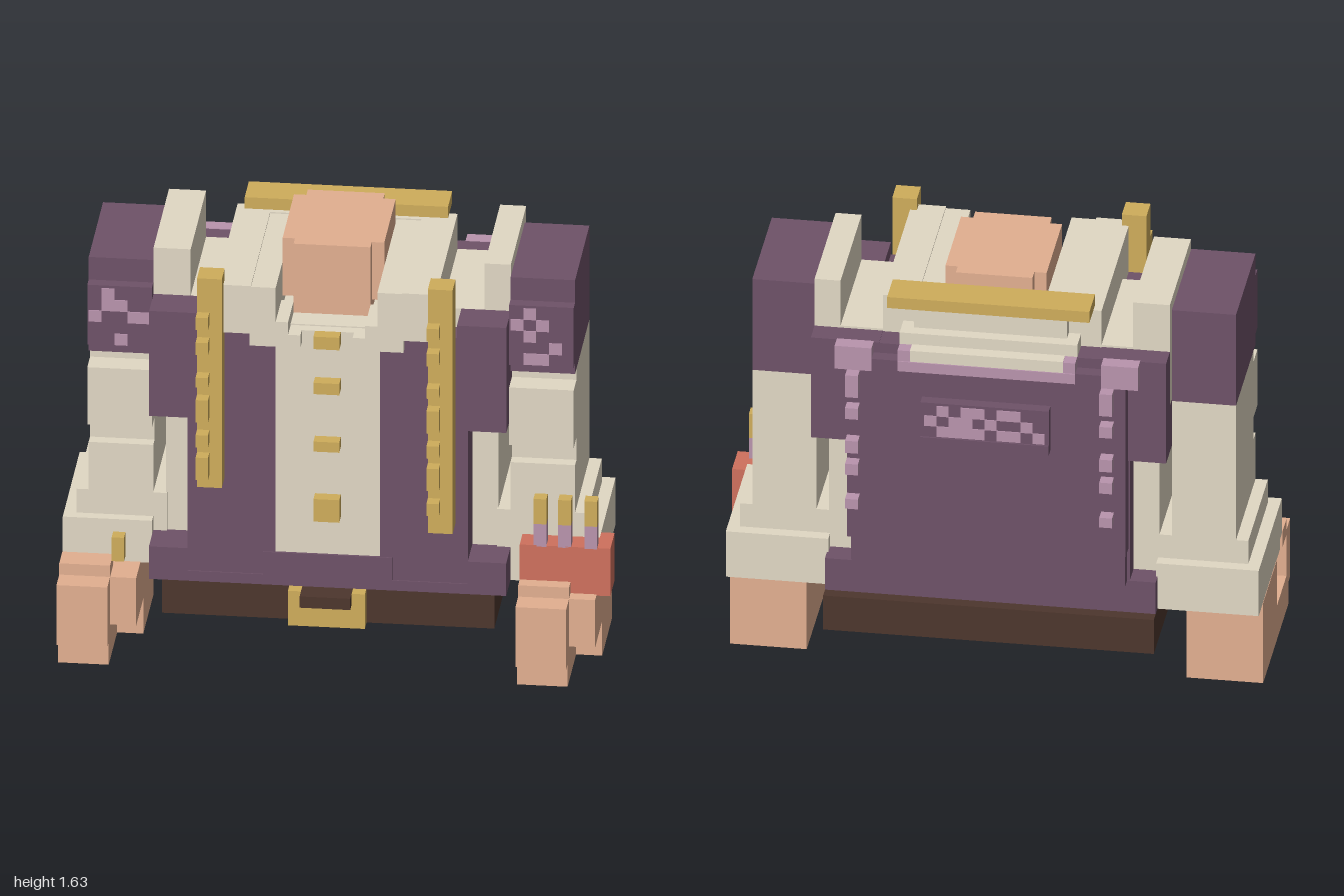
import * as THREE from 'three';

const mat = (name, color) => { const m = new THREE.MeshStandardMaterial({ color }); m.name = name; return m; };

export function createModel() {
  const purple = mat('purple cloth', 0x6e5268);
  const cream = mat('cream cloth', 0xe1d8c4);
  const gold = mat('gold', 0xcfad5b);
  const skin = mat('skin', 0xe2af90);
  const red = mat('red', 0xcf705d);
  const brown = mat('brown leather', 0x4d362d);
  const pink = mat('mauve', 0xb994ad);

  const model = new THREE.Group();
  model.name = 'jacketTorso';

  // box from its extents: [x0, x1, y0, y1, z0, z1]
  const box = (parent, name, m, [x0, x1, y0, y1, z0, z1]) => {
    const mesh = new THREE.Mesh(new THREE.BoxGeometry(x1 - x0, y1 - y0, z1 - z0), m);
    mesh.position.set((x0 + x1) / 2, (y0 + y1) / 2, (z0 + z1) / 2);
    mesh.name = name;
    parent.add(mesh);
  };
  const part = (name, parent = model) => {
    const g = new THREE.Group();
    g.name = name;
    parent.add(g);
    return g;
  };

  // the body is symmetric about a plane slightly off centre
  const body = part('body');
  body.position.x = -0.0235;
  const mirrored = (parent, name, m, [x0, x1, ...r]) => {
    box(parent, name + 'Left', m, [x0, x1, ...r]);
    box(parent, name + 'Right', m, [-x1, -x0, ...r]);
  };

  // jacket and shirt
  const jacket = part('jacket', body);
  box(jacket, 'jacketCore', purple, [-0.51, 0.51, 0.33, 1.3, -0.34, 0.3]);
  mirrored(jacket, 'jacketFront', purple, [0.19, 0.51, 0.33, 1.35, 0.25, 0.345]);
  mirrored(jacket, 'flankFront', purple, [0.47, 0.65, 0.98, 1.4, 0.2, 0.345]);
  mirrored(jacket, 'flankBack', purple, [0.4, 0.65, 0.98, 1.392, -0.39, -0.255]);
  mirrored(jacket, 'flankSide', purple, [0.47, 0.65, 0.98, 1.2, -0.255, 0.2]);
  box(jacket, 'jacketBack', purple, [-0.5, 0.5, 0.46, 1.39, -0.39, -0.3]);
  box(jacket, 'backPanel', purple, [-0.42, 0.42, 0.61, 1.35, -0.44, -0.38]);
  mirrored(jacket, 'backSeam', purple, [0.42, 0.51, 0.61, 1.3, -0.44, -0.38]);
  box(jacket, 'shirtFront', cream, [-0.19, 0.19, 0.4, 1.35, 0.2, 0.34]);
  box(jacket, 'hemCentre', purple, [-0.235, 0.235, 0.33, 0.46, 0.2, 0.35]);
  mirrored(jacket, 'hemLow', purple, [0.235, 0.51, 0.33, 0.37, 0.2, 0.35]);
  mirrored(jacket, 'hemEnd', purple, [0.51, 0.65, 0.33, 0.46, 0.2, 0.35]);
  box(jacket, 'hemBack', purple, [-0.605, 0.605, 0.33, 0.46, -0.345, -0.25]);
  mirrored(jacket, 'sideLining', cream, [0.45, 0.605, 0.33, 1.0, -0.255, 0.2]);
  mirrored(jacket, 'shoulderLining', cream, [0.37, 0.65, 1.17, 1.4, -0.3, 0.2]);
  box(jacket, 'shoulderPadLeft', cream, [0.555, 0.65, 1.3, 1.585, -0.3, 0.2]);
  box(jacket, 'shoulderPadRight', cream, [-0.65, -0.515, 1.3, 1.585, -0.3, 0.2]);

  // collar
  const collar = part('collar', body);
  box(collar, 'collarFloor', cream, [-0.3, 0.3, 1.25, 1.355, -0.3, 0.3]);
  mirrored(collar, 'collarOuter', cream, [0.275, 0.4, 1.35, 1.54, -0.3, 0.39]);
  mirrored(collar, 'collarInner', cream, [0.185, 0.28, 1.35, 1.535, -0.3, 0.385]);
  mirrored(collar, 'collarPoint', cream, [0.095, 0.28, 1.3, 1.35, 0.2, 0.385]);
  mirrored(collar, 'collarTip', cream, [0.14, 0.19, 1.34, 1.4, 0.2, 0.385]);
  box(collar, 'collarBack', cream, [-0.28, 0.28, 1.34, 1.54, -0.345, -0.24]);
  box(collar, 'collarStep', cream, [-0.325, 0.325, 1.35, 1.44, -0.39, -0.28]);
  box(collar, 'collarFold', cream, [-0.28, 0.28, 1.35, 1.395, -0.44, -0.3]);
  mirrored(collar, 'collarFoldEnd', pink, [0.28, 0.325, 1.35, 1.393, -0.44, -0.385]);
  box(collar, 'collarFoldTrim', pink, [-0.325, 0.325, 1.31, 1.35, -0.445, -0.4]);
  box(collar, 'collarBar', gold, [-0.37, 0.37, 1.54, 1.585, -0.395, -0.26]);

  // neck
  const neck = part('neck', body);
  box(neck, 'neckTop', skin, [-0.185, 0.185, 1.4, 1.63, -0.21, 0.16]);
  box(neck, 'neckCore', skin, [-0.14, 0.14, 1.34, 1.63, -0.255, 0.205]);

  // gold front strips with studs
  const trim = part('frontTrim', body);
  box(trim, 'stripRight', gold, [-0.465, -0.375, 0.75, 1.585, 0.345, 0.44]);
  box(trim, 'stripLeft', gold, [0.375, 0.465, 0.61, 1.585, 0.345, 0.44]);
  const studs = [[1.4, 1.45], [1.3, 1.35], [1.17, 1.21], [1.03, 1.12], [0.93, 0.98], [0.8, 0.89], [0.7, 0.75]];
  studs.forEach(([a, b], i) => {
    box(trim, 'studLeft', gold, [0.375, 0.42, a, b, 0.44, 0.488]);
    if (i < 6) box(trim, 'studRight', gold, [-0.465, -0.42, a, b, 0.44, 0.488]);
  });
  for (const [a, b] of [[1.3, 1.35], [1.12, 1.165], [0.89, 0.93], [0.61, 0.7]])
    box(trim, 'button', gold, [-0.047, 0.047, a, b, 0.33, 0.39]);

  // back decoration: studs, seam tops and a pixelled plate
  const back = part('backTrim', body);
  for (const [a, b] of [[1.21, 1.3], [1.12, 1.165], [0.98, 1.03], [0.89, 0.935], [0.75, 0.79]]) {
    box(back, 'backStudLeft', pink, [0.463, 0.51, a, b, -0.487, -0.44]);
    box(back, 'backStudRight', pink, [-0.467, -0.42, a, b, -0.487, -0.44]);
  }
  box(back, 'backSeamCapLeft', pink, [0.42, 0.555, 1.3, 1.394, -0.442, -0.385]);
  box(back, 'backSeamCapRight', pink, [-0.555, -0.42, 1.3, 1.394, -0.442, -0.385]);
  box(back, 'backPlate', purple, [-0.235, 0.235, 1.03, 1.21, -0.483, -0.44]);
  box(back, 'backPlateLedge', purple, [-0.235, 0.235, 1.03, 1.07, -0.49, -0.44]);
  ['0101101100', '1011010010', '0111101101'].forEach((row, r) => [...row].forEach((c, i) => {
    const x = 0.22 - i * 0.044, y = 1.2 - r * 0.042;
    if (c === '1') box(back, 'platePixel', pink, [x - 0.044, x, y - 0.042, y, -0.487, -0.48]);
  }));

  // belt and buckle
  const belt = part('belt', body);
  box(belt, 'beltBand', brown, [-0.605, 0.605, 0.19, 0.33, -0.39, 0.335]);
  box(belt, 'buckle', gold, [-0.14, 0.14, 0.19, 0.328, 0.3, 0.39]);
  box(belt, 'bucklePin', brown, [-0.092, 0.092, 0.285, 0.33, 0.34, 0.437]);

  // arms
  const arms = part('arms', body);
  mirrored(arms, 'shoulder', purple, [0.65, 0.885, 1.165, 1.54, -0.255, 0.21]);
  mirrored(arms, 'shoulderPatch', purple, [0.65, 0.885, 1.21, 1.45, 0.2, 0.255]);
  mirrored(arms, 'sleeve', cream, [0.65, 0.885, 0.6, 1.165, -0.255, 0.165]);
  mirrored(arms, 'sleeveFold', cream, [0.65, 0.885, 0.89, 1.12, 0.16, 0.255]);
  mirrored(arms, 'sleeveLower', cream, [0.65, 0.885, 0.6, 0.8, 0.16, 0.21]);
  mirrored(arms, 'cuffUpper', cream, [0.6, 0.93, 0.51, 0.61, -0.255, 0.21]);
  mirrored(arms, 'cuffLower', cream, [0.6, 0.975, 0.328, 0.515, -0.3, 0.21]);
  box(arms, 'cuffFront', cream, [-0.975, -0.65, 0.37, 0.515, 0.2, 0.25]);

  // mauve pixels on the shoulder patches
  const pixels = (x0, cells) => cells.forEach(([i, y]) => {
    const x = x0 + i * 0.047;
    box(arms, 'patchPixel', pink, [x, x + 0.047, y, y + 0.045, 0.25, 0.259]);
  });
  pixels(0.655, [[1, 1.395], [0, 1.35], [2, 1.35], [1, 1.305], [3, 1.26], [1, 1.215], [2, 1.215]]);
  pixels(-0.88, [[1, 1.395], [0, 1.305], [2, 1.35], [1, 1.35], [3, 1.305], [4, 1.305], [2, 1.215]]);

  // hands: curled fingers with a hollow grip, same shape on both sides
  for (const [side, x] of [['left', 0.67], ['right', -1.0]]) {
    const hand = part(side + 'Hand');
    hand.position.x = x;
    box(hand, 'palm', skin, [0, 0.28, 0, 0.33, -0.205, 0.12]);
    box(hand, 'lowerFingers', skin, [0, 0.185, 0, 0.1, 0.12, 0.395]);
    box(hand, 'fingerBend', skin, [0, 0.185, 0.09, 0.14, 0.12, 0.36]);
    box(hand, 'frontFingers', skin, [0, 0.185, 0.09, 0.33, 0.35, 0.44]);
    box(hand, 'fingerTops', skin, [0, 0.185, 0.31, 0.375, 0.25, 0.35]);
    box(hand, 'thumb', skin, [0.185, 0.28, 0.14, 0.33, 0.1, 0.35]);
  }
  box(model, 'heldPin', gold, [-0.815, -0.77, 0.37, 0.465, 0.25, 0.3]);

  // red pack with three tipped rods
  const pack = part('redPack');
  box(pack, 'packBox', red, [0.67, 1.0, 0.325, 0.515, 0.165, 0.3]);
  for (const x of [0.72, 0.81, 0.905]) {
    box(pack, 'rod', pink, [x, x + 0.047, 0.51, 0.6, 0.252, 0.3]);
    box(pack, 'rodTip', gold, [x, x + 0.047, 0.6, 0.7, 0.252, 0.3]);
  }
  return model;
}
